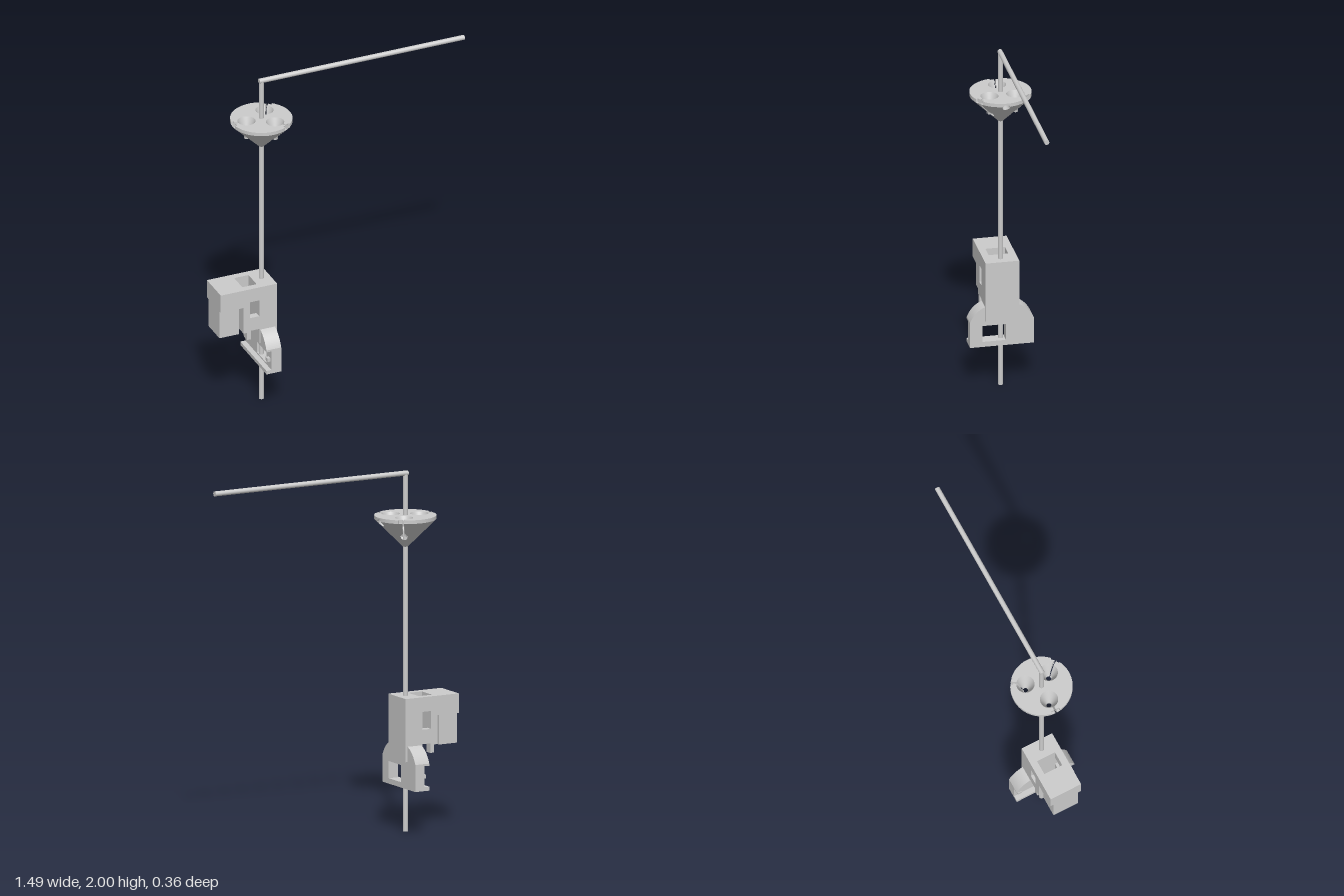
import * as THREE from 'three';
import { toCreasedNormals } from 'three/addons/utils/BufferGeometryUtils.js';

const mat = new THREE.MeshStandardMaterial({ color: 0xcccccc });
const open = new THREE.MeshStandardMaterial({ color: 0xcccccc, side: THREE.DoubleSide });
const AXIS = -0.463, ROD = 0.014;

function add(parent, name, geo, x = 0, y = 0, z = 0, material = mat) {
  const m = new THREE.Mesh(geo, material);
  m.name = name;
  m.position.set(x, y, z);
  parent.add(m);
  return m;
}
const box = (parent, name, x0, x1, y0, y1, z0, z1) =>
  add(parent, name, new THREE.BoxGeometry(x1 - x0, y1 - y0, z1 - z0), (x0 + x1) / 2, (y0 + y1) / 2, (z0 + z1) / 2);
const poly = (pts) => new THREE.Shape(pts.map((p) => new THREE.Vector2(...p)));
const rect = (x0, x1, y0, y1) => poly([[x0, y0], [x1, y0], [x1, y1], [x0, y1]]);
const slab = (shape, depth) => new THREE.ExtrudeGeometry(shape, { depth, bevelEnabled: false, curveSegments: 16 });

// Cone dimensions
const Y0 = 1.58, YR = 1.735, Y1 = 1.755, R = 0.17;
const FUNNEL_D = 0.088, FUNNEL_R = 0.05, SLOT = 0.005, NOTCH = 0.025, NOTCH_R = 0.155;
const EXIT_Y = 1.645, SCREW_Y = 1.725, SCREW_R = 0.022;
const slots = [-0.96, 0.96, Math.PI];
const coneR = (y) => Math.min(R, ROD + ((y - Y0) / (YR - Y0)) * (R - ROD));

// True where the outer wall of the cone is cut away
function isCut(a, y) {
  const r = coneR(y);
  const da = (b) => Math.atan2(Math.sin(a - b), Math.cos(a - b));
  if (Math.hypot(r * da(0), y - SCREW_Y) < SCREW_R) return true;
  return slots.some((s) => {
    const t = Math.abs(r * da(s));
    return (y > EXIT_Y && t < SLOT) || Math.hypot(t, y - EXIT_Y) < 0.019 || (y > YR && t < NOTCH);
  });
}

// Outer cone and rim as a grid of small quads, leaving out the openings
function coneWall() {
  const N = 288, rows = [], pos = [];
  for (let i = 0; i <= 36; i++) rows.push(Y0 + ((YR - Y0) * i) / 36);
  for (let i = 1; i <= 4; i++) rows.push(YR + ((Y1 - YR) * i) / 4);
  const P = (j, y) => {
    const a = (j / N) * Math.PI * 2;
    return [coneR(y) * Math.cos(a), y, coneR(y) * Math.sin(a)];
  };
  for (let i = 0; i < rows.length - 1; i++) {
    for (let j = 0; j < N; j++) {
      if (isCut(((j + 0.5) / N) * Math.PI * 2, (rows[i] + rows[i + 1]) / 2)) continue;
      const a = P(j, rows[i]), b = P(j, rows[i + 1]), c = P(j + 1, rows[i]), d = P(j + 1, rows[i + 1]);
      pos.push(...a, ...b, ...c, ...c, ...b, ...d);
    }
  }
  const g = new THREE.BufferGeometry();
  g.setAttribute('position', new THREE.Float32BufferAttribute(pos, 3));
  return toCreasedNormals(g, 0.6);
}

// Flat top with the funnel mouths, slots and rim notches in its outline
function coneTop() {
  const pts = [], edge = Math.sqrt(R * R - NOTCH * NOTCH), half = Math.asin(NOTCH / R);
  slots.forEach((s, k) => {
    const at = (u, t) => pts.push([u * Math.cos(s) - t * Math.sin(s), u * Math.sin(s) + t * Math.cos(s)]);
    const e = Math.asin(SLOT / FUNNEL_R);
    at(edge, -NOTCH); at(NOTCH_R, -NOTCH); at(NOTCH_R, -SLOT);
    for (let i = 0; i <= 40; i++) {
      const a = -e - ((Math.PI * 2 - 2 * e) * i) / 40;
      at(FUNNEL_D + FUNNEL_R * Math.cos(a), FUNNEL_R * Math.sin(a));
    }
    at(NOTCH_R, SLOT); at(NOTCH_R, NOTCH); at(edge, NOTCH);
    const end = (k < 2 ? slots[k + 1] : slots[0] + Math.PI * 2) - half, start = s + half;
    for (let i = 1; i < 32; i++) {
      const a = start + ((end - start) * i) / 32;
      pts.push([R * Math.cos(a), R * Math.sin(a)]);
    }
  });
  return new THREE.ShapeGeometry(poly(pts)).rotateX(-Math.PI / 2);
}

function buildCone() {
  const cone = new THREE.Group();
  cone.name = 'cone';
  cone.position.x = AXIS;
  add(cone, 'coneWall', coneWall(), 0, 0, 0, open);
  add(cone, 'coneTop', coneTop(), 0, Y1, 0, open);

  // Funnels with their slots and rim notches
  const e = 0.1;
  const profile = [[0.015, 1.65], [0.015, 1.665], [FUNNEL_R, Y1]].map((p) => new THREE.Vector2(...p));
  const wall = poly([[FUNNEL_D + 0.012, 1.664], [R, YR], [R, Y1], [FUNNEL_D + FUNNEL_R, Y1]]);
  for (const s of slots) {
    const g = new THREE.Group();
    g.name = 'funnel';
    g.rotation.y = -s;
    cone.add(g);
    add(g, 'funnelBowl', new THREE.LatheGeometry(profile, 40, Math.PI / 2 + e, Math.PI * 2 - 2 * e), FUNNEL_D, 0, 0, open);
    for (const side of [-1, 1]) {
      add(g, 'slotWall', new THREE.ShapeGeometry(wall), 0, 0, side * SLOT, open);
      const mid = (side * (SLOT + NOTCH)) / 2, w = (NOTCH - SLOT) / 2;
      box(g, 'notchFloor', NOTCH_R - 0.002, 0.167, YR - 0.003, YR, mid - w, mid + w);
      box(g, 'notchBack', NOTCH_R - 0.003, NOTCH_R, YR, Y1 - 0.001, mid - w, mid + w);
    }
  }

  // Screw bore, its outer end trimmed to the cone surface
  const bore = new THREE.CylinderGeometry(SCREW_R, SCREW_R, 1, 32, 1, true).rotateZ(-Math.PI / 2);
  const p = bore.attributes.position;
  for (let i = 0; i < p.count; i++) p.setX(i, p.getX(i) > 0 ? coneR(SCREW_Y + p.getY(i)) : 0.01);
  add(cone, 'screwBore', bore, 0, SCREW_Y, 0, open);
  return cone;
}

function buildHousing() {
  const g = new THREE.Group();
  g.name = 'housing';
  // Side walls with the through window
  const side = poly([[-0.745, 0.753], [-0.745, 0.645], [-0.61, 0.645], [-0.61, 0.485], [-0.59, 0.485], [-0.59, 0.44],
    [-0.565, 0.44], [-0.565, 0.493], [-0.515, 0.493], [-0.515, 0.403], [-0.41, 0.403], [-0.41, 0.753]]);
  side.holes.push(rect(-0.57, -0.516, 0.573, 0.672));
  for (const z of [-0.094, 0.055]) add(g, 'housingSide', slab(side, 0.039), 0, 0, z);
  // Core on either side of the vertical pocket
  box(g, 'housingFront', -0.515, -0.41, 0.403, 0.753, -0.055, 0.055);
  box(g, 'housingBack', -0.745, -0.6, 0.645, 0.753, -0.055, 0.055);
  box(g, 'pocketWall', -0.61, -0.6, 0.485, 0.645, -0.055, 0.055);
  box(g, 'rearBlock', -0.745, -0.63, 0.477, 0.646, -0.076, 0.076);
  return g;
}

function buildClamp() {
  const g = new THREE.Group();
  g.name = 'railClamp';
  // Rounded-shoulder outline above a given height
  const outline = (y0) => {
    const s = new THREE.Shape();
    s.moveTo(-0.178, y0);
    s.lineTo(0.178, y0);
    s.lineTo(0.178, 0.4);
    s.quadraticCurveTo(0.15, 0.465, 0.093, 0.488);
    s.lineTo(-0.093, 0.488);
    s.quadraticCurveTo(-0.15, 0.465, -0.178, 0.4);
    return s;
  };
  const plate = outline(0.25);
  plate.holes.push(rect(-0.11, 0.022, 0.28, 0.375));
  add(g, 'clampPlate', slab(plate, 0.058).rotateY(Math.PI / 2), -0.48);
  add(g, 'upperJaw', slab(outline(0.388), 0.03).rotateY(Math.PI / 2), -0.51);
  box(g, 'lowerLip', -0.51, -0.48, 0.25, 0.272, -0.178, 0.178);
  for (const z of [-0.15, 0.15]) box(g, 'railPeg', -0.497, -0.48, 0.316, 0.338, z - 0.012, z + 0.012);
  return g;
}

export function createModel() {
  const model = new THREE.Group();
  model.name = 'standWithCone';
  // Upright rod and horizontal arm
  add(model, 'uprightRod', new THREE.CylinderGeometry(ROD, ROD, 1.98, 32), AXIS, 0.99, 0);
  add(model, 'horizontalArm', new THREE.CylinderGeometry(ROD, ROD, 1.218, 32).rotateZ(Math.PI / 2), 0.132, 1.986, 0);
  model.add(buildCone(), buildHousing(), buildClamp());
  return model;
}
